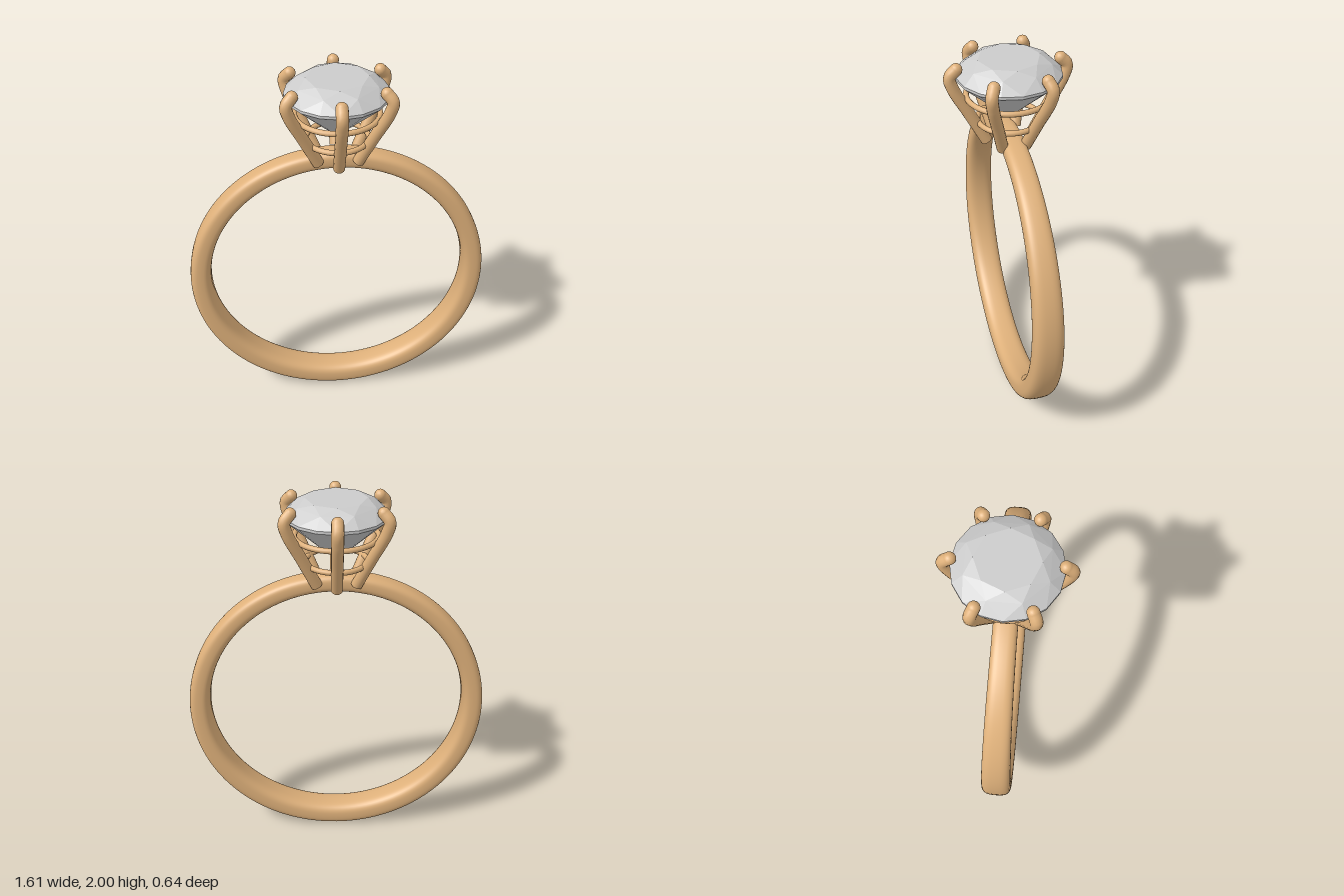
import * as THREE from 'three';
import { ParametricGeometry } from 'three/addons/geometries/ParametricGeometry.js';
import { ConvexGeometry } from 'three/addons/geometries/ConvexGeometry.js';

export function createModel() {
  const model = new THREE.Group();
  const gold = new THREE.MeshStandardMaterial({ color: 0xdeb07a });
  const stone = new THREE.MeshStandardMaterial({ color: 0xcccccc, flatShading: true });

  const add = (parent, name, geometry, material) => {
    const mesh = new THREE.Mesh(geometry, material);
    mesh.name = name;
    parent.add(mesh);
    return mesh;
  };

  // Band: rounded section between two offset circles, thinner and narrower at the top
  const soften = (t) => Math.sign(t) * Math.pow(Math.abs(t), 0.68);
  const bandPoint = (u, v, target) => {
    const a = u * Math.PI * 2, b = v * Math.PI * 2;
    const c = Math.cos(a), s = Math.sin(a);
    const k = (1 + soften(Math.cos(b))) / 2;
    const radius = THREE.MathUtils.lerp(0.69, 0.804, k);
    const centre = THREE.MathUtils.lerp(0.827, 0.808, k);
    const halfWidth = 0.078 - 0.011 * s - 0.007 * s * s;
    target.set(c * radius, centre + s * radius, halfWidth * soften(Math.sin(b)));
  };
  add(model, 'band', new ParametricGeometry(bandPoint, 128, 40), gold);

  // Prongs: six leaning claws that curl over the stone
  const path = new THREE.CatmullRomCurve3(
    [[0.115, 1.565], [0.2, 1.727], [0.275, 1.87], [0.288, 1.93], [0.255, 1.967]]
      .map(([r, y]) => new THREE.Vector3(0, y, r)));
  const prongRadius = 0.03;
  const prongTube = new THREE.TubeGeometry(path, 32, prongRadius, 16);
  const prongTip = new THREE.SphereGeometry(prongRadius, 16, 12);
  const prongFoot = new THREE.CircleGeometry(prongRadius, 16);
  for (let i = 0; i < 6; i++) {
    const prong = new THREE.Group();
    prong.name = 'prong';
    prong.rotation.y = i * Math.PI / 3;
    add(prong, 'prongShaft', prongTube, gold);
    add(prong, 'prongTip', prongTip, gold).position.copy(path.getPoint(1));
    const foot = add(prong, 'prongFoot', prongFoot, gold);
    foot.position.copy(path.getPoint(0));
    foot.lookAt(foot.position.clone().sub(path.getTangent(0)));
    model.add(prong);
  }

  // Gallery rails joining the prongs
  for (const [name, radius, y] of [['upperRail', 0.208, 1.81], ['lowerRail', 0.155, 1.675]]) {
    const rail = add(model, name, new THREE.TorusGeometry(radius, 0.014, 12, 64), gold);
    rail.rotation.x = Math.PI / 2;
    rail.position.y = y;
  }

  // Gemstone: brilliant cut made from rings of facet corners
  const corners = [new THREE.Vector3(0, 1.69, 0)];
  const ring = (count, radius, y, turn = 0) => {
    for (let i = 0; i < count; i++) {
      const a = (i + turn) * Math.PI * 2 / count;
      corners.push(new THREE.Vector3(Math.sin(a) * radius, y, Math.cos(a) * radius));
    }
  };
  ring(8, 0.06, 1.732, 0.5);  // lower facets
  ring(16, 0.258, 1.91);      // girdle
  ring(16, 0.258, 1.924);
  ring(8, 0.205, 1.975, 0.5); // star facets
  ring(8, 0.152, 2.0);        // table
  add(model, 'gemstone', new ConvexGeometry(corners), stone);

  return model;
}
